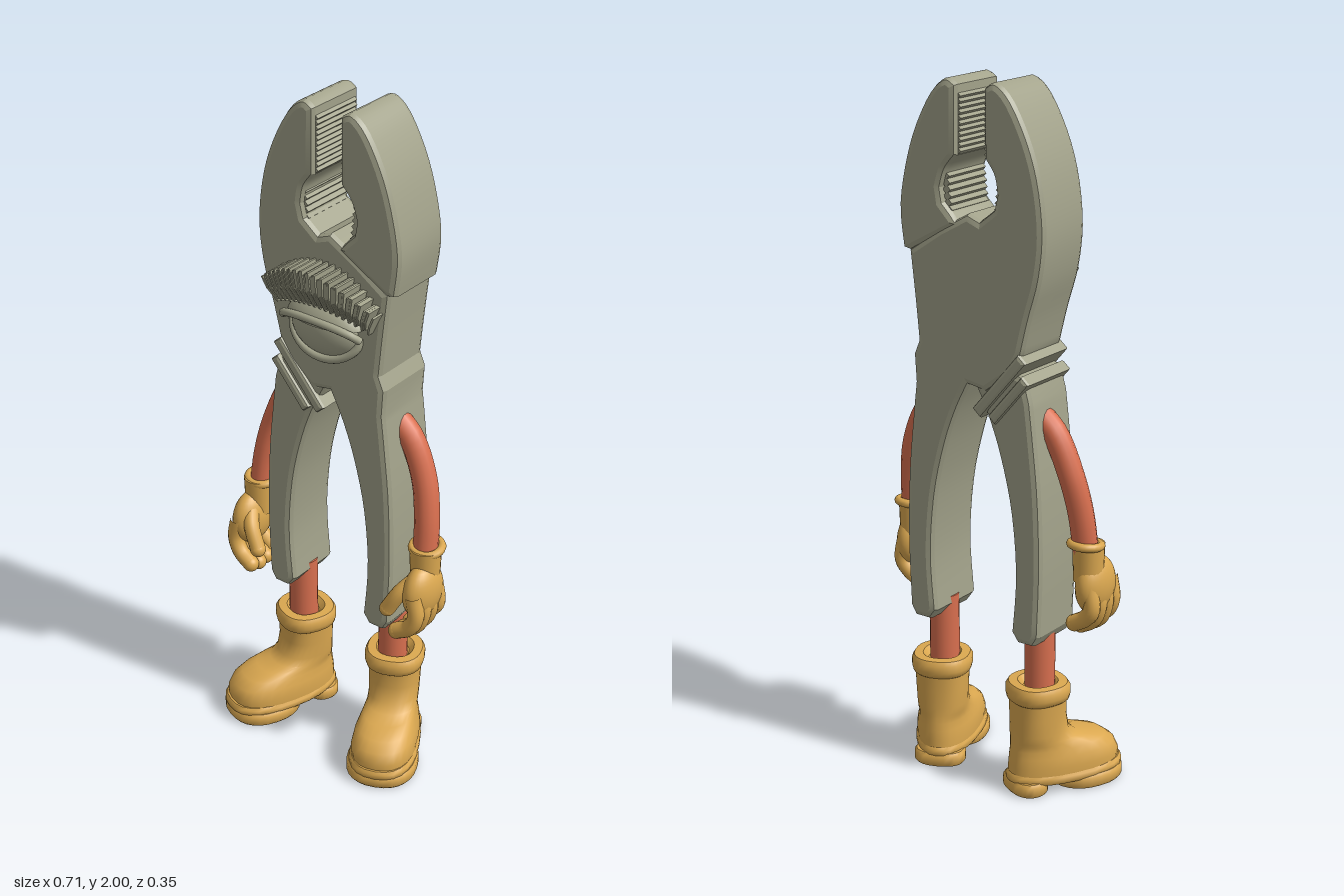
import * as THREE from 'three';
import { mergeGeometries, toCreasedNormals } from 'three/addons/utils/BufferGeometryUtils.js';

const steel = new THREE.MeshStandardMaterial({ color: 0xa3a38b, name: 'grey steel' });
const lidSteel = steel;
const skin = new THREE.MeshStandardMaterial({ color: 0xd86f4f, name: 'coral limbs' });
const leather = new THREE.MeshStandardMaterial({ color: 0xdba850, name: 'mustard leather' });
const V = (x, y, z) => new THREE.Vector3(x, y, z);

function add(group, name, geometry, material) {
  const mesh = new THREE.Mesh(geometry, material);
  mesh.name = name;
  group.add(mesh);
  return mesh;
}

// Rounded plate whose outline is a chain of smooth runs, sharp where runs meet
function plate(runs, z0, z1, bevel = 0.018) {
  const pts = [];
  for (const run of runs) {
    const p = run.map(([x, y]) => new THREE.Vector2(x, y));
    pts.push(...(p.length > 2 ? new THREE.SplineCurve(p).getPoints(p.length * 3) : p));
  }
  const clean = pts.filter((p, i) => p.distanceTo(pts[(i + 1) % pts.length]) > 0.002);
  const geo = new THREE.ExtrudeGeometry(new THREE.Shape(clean), {
    depth: z1 - z0 - 2 * bevel, bevelThickness: bevel, bevelSize: bevel,
    bevelOffset: -bevel, bevelSegments: 2,
  });
  geo.translate(0, 0, z0 + bevel);
  return toCreasedNormals(geo, 0.36);
}

// Stacked egg-shaped rings: [y, back z, front z, half width]
function loft(rings, flare = 0, n = 28) {
  const pos = [], index = [];
  rings.forEach(([y, back, front, w], i) => {
    for (let j = 0; j < n; j++) {
      const t = (j / n) * Math.PI * 2, s = Math.sin(t), c = Math.cos(t);
      const bulge = flare * Math.max(0, (front - back - 0.16) / 0.17);
      const sx = Math.sign(s) * Math.abs(s) ** 0.85, cz = Math.sign(c) * Math.abs(c) ** 0.85;
      pos.push(w * sx * (1 + bulge * c), y, (back + front) / 2 + ((front - back) / 2) * cz);
      if (i === rings.length - 1) continue;
      const a = i * n + j, b = i * n + ((j + 1) % n);
      index.push(a, b, b + n, a, b + n, a + n);
    }
  });
  const geo = new THREE.BufferGeometry();
  geo.setAttribute('position', new THREE.Float32BufferAttribute(pos, 3));
  geo.setIndex(index);
  return toCreasedNormals(geo, 0.8);
}

function tube(points, r) {
  return new THREE.TubeGeometry(new THREE.CatmullRomCurve3(points), 20, r, 14);
}

function ball(group, name, material, p, sx, sy, sz) {
  const mesh = add(group, name, new THREE.SphereGeometry(1, 28, 18), material);
  mesh.position.copy(p);
  mesh.scale.set(sx, sy, sz);
  return mesh;
}

function buildPliers(root) {
  const g = new THREE.Group();
  g.name = 'pliers';
  root.add(g);
  const inner = [[0.01, 1.18], [0.05, 1.1], [0.09, 0.99], [0.125, 0.84], [0.14, 0.66], [0.128, 0.49]];
  const outer = [[0.218, 0.49], [0.225, 0.7], [0.218, 0.9], [0.203, 1.05], [0.19, 1.16]];
  const foot = [[0.15, 0.46], [0.2, 0.46]];

  // One jaw, the head and the opposite handle in a single piece
  add(g, 'mainJawAndHandle', plate([
    [[-0.045, 1.985], [-0.08, 2.0], [-0.13, 1.96], [-0.185, 1.86], [-0.22, 1.75], [-0.235, 1.62],
      [-0.222, 1.5], [-0.19, 1.39], [-0.165, 1.29]],
    [[-0.13, 1.23], [-0.05, 1.17]], inner, foot, outer,
    [[0.195, 1.24], [0.178, 1.28]], [[0.178, 1.28], [0.19, 1.4], [0.205, 1.53]],
    [[0.1, 1.6], [0.01, 1.65]], [[-0.03, 1.635], [-0.075, 1.67]],
    [[-0.085, 1.71], [-0.075, 1.76], [-0.047, 1.8]],
  ], -0.165, 0.035), steel);

  add(g, 'secondJaw', plate([
    [[0.045, 1.985], [0.08, 2.0], [0.13, 1.96], [0.185, 1.86], [0.22, 1.75], [0.237, 1.64], [0.225, 1.53]],
    [[0.2, 1.525], [0.04, 1.615]], [[0.065, 1.645], [0.09, 1.67]],
    [[0.097, 1.71], [0.08, 1.76], [0.047, 1.8]],
  ], -0.165, 0.037), steel);

  const flip = (run) => run.map(([x, y]) => [-x, y]);
  add(g, 'secondHandle', plate([
    flip(inner), flip(foot), flip(outer), [[-0.17, 1.23], [-0.1, 1.25]],
  ], -0.158, 0.03), steel);

  // Diagonal shoulder ridges beside the pivot
  [[-0.095, 1.195, 0.23, 0.036], [-0.125, 1.16, 0.17, 0.032]].forEach(([x, y, len, w], i) => {
    const h = len / 2, k = w / 2;
    const ridge = add(g, 'shoulderRidge' + (i + 1),
      plate([[[-h, -k], [h, -k]], [[h, k], [-h, k]]], -0.168, 0.04, 0.01), steel);
    ridge.position.set(x, y, 0);
    ridge.rotation.z = -0.86;
  });

  // Gripping teeth: fine ones at the tips, coarse ones in the round gap
  const teeth = [];
  const tooth = (x, y, r) => {
    const t = new THREE.CylinderGeometry(r, r, 0.165, 4).rotateX(Math.PI / 2);
    teeth.push(t.translate(x, y, -0.065));
  };
  for (const s of [-1, 1]) {
    for (let i = 0; i < 11; i++) tooth(s * 0.047, 1.81 + i * 0.0145, 0.009);
    for (let i = 0; i < 6; i++) tooth(s * (0.09 - 0.002 * i), 1.74 - i * 0.018, 0.013);
  }
  add(g, 'jawTeeth', mergeGeometries(teeth.map((t) => toCreasedNormals(t, 0.3))), steel);
}

function buildFace(root) {
  const g = new THREE.Group();
  g.name = 'eye';
  root.add(g);
  ball(g, 'eyeball', steel, V(0, 1.375, 0.03), 0.112, 0.082, 0.055);

  // Heavy upper lid and a thin lower rim
  const lid = add(g, 'upperLid', new THREE.SphereGeometry(1, 28, 12, 0, Math.PI * 2, 0, 1.25), lidSteel);
  lid.position.set(0, 1.375, 0.03);
  lid.scale.set(0.132, 0.092, 0.07);
  const arc = (w, h, y, z, from, to) => Array.from({ length: 9 }, (_, i) => {
    const a = from + (to - from) * i / 8;
    return V(w * Math.cos(a), y + h * Math.sin(a), z + 0.035 * Math.abs(Math.sin(a)));
  });
  add(g, 'upperLidRim', tube(arc(0.13, 0.035, 1.383, 0.055, 0, Math.PI), 0.011), steel);
  add(g, 'lowerLidRim', tube(arc(0.118, 0.085, 1.38, 0.025, Math.PI, Math.PI * 2), 0.012), steel);

  // Bushy brow made of fanned wedge bristles, deepest at the top and middle
  const bristles = [];
  const count = 53;
  for (let i = 0; i < count; i++) {
    const t = (i / (count - 1)) * 2 - 1, jag = [0, 0.012, 0.005][i % 3];
    const low = [0.155 * t, 1.462 - 0.04 * t * t - jag];
    const high = [0.185 * t, 1.572 - 0.085 * t * t - jag];
    const depth = 0.088 - 0.045 * t * t - jag * 0.5;
    const len = Math.hypot(high[0] - low[0], high[1] - low[1]);
    const b = new THREE.BoxGeometry(0.006, len, 1, 1, 2, 1);
    const p = b.attributes.position;
    for (let k = 0; k < p.count; k++) {
      const h = p.getY(k) / len + 0.5;
      p.setZ(k, p.getZ(k) > 0 ? 0.035 + depth * (0.5 + 0.5 * Math.min(1, h * 1.6)) : 0.02);
    }
    b.rotateZ(-Math.atan2(high[0] - low[0], high[1] - low[1]));
    b.translate((low[0] + high[0]) / 2, (low[1] + high[1]) / 2, 0);
    b.computeVertexNormals();
    bristles.push(b);
  }
  add(g, 'eyebrow', mergeGeometries(bristles), steel);
}

function buildArm(root, s) {
  const g = new THREE.Group();
  g.name = s > 0 ? 'leftArm' : 'rightArm';
  root.add(g);
  add(g, 'arm', tube([V(s * 0.16, 1.11, -0.07), V(s * 0.215, 1.06, -0.07), V(s * 0.265, 0.95, -0.065),
    V(s * 0.288, 0.84, -0.05), V(s * 0.296, 0.72, -0.035)], 0.036), skin);

  // Glove: rolled cuff, wrist, palm, curled fingers and thumb
  const cuff = add(g, 'gloveCuff', new THREE.TorusGeometry(0.042, 0.012, 10, 24), leather);
  cuff.position.set(s * 0.298, 0.752, -0.04);
  cuff.rotation.x = Math.PI / 2 + 0.12;
  const wrist = add(g, 'gloveWrist', new THREE.CylinderGeometry(0.045, 0.042, 0.11, 20), leather);
  wrist.position.set(s * 0.301, 0.7, -0.03);
  ball(g, 'palm', leather, V(s * 0.31, 0.628, -0.008), 0.046, 0.085, 0.076);
  for (let i = 0; i < 4; i++) {
    const z = -0.053 + i * 0.034, drop = [0.02, 0.004, 0, 0.01][i];
    const tip = V(s * 0.268, 0.495 + drop, z + 0.006);
    add(g, 'finger' + (i + 1), tube([V(s * 0.318, 0.64, z), V(s * 0.328, 0.57, z),
      V(s * 0.308, 0.52 + drop, z + 0.003), tip], 0.024), leather);
    ball(g, 'fingertip' + (i + 1), leather, tip, 0.024, 0.024, 0.024);
  }
  const thumbTip = V(s * 0.237, 0.57, 0.058);
  add(g, 'thumb', tube([V(s * 0.3, 0.67, 0.01), V(s * 0.27, 0.63, 0.045), thumbTip], 0.023), leather);
  ball(g, 'thumbTip', leather, thumbTip, 0.023, 0.023, 0.023);
}

function buildLeg(root, s) {
  const g = new THREE.Group();
  g.name = s > 0 ? 'leftLeg' : 'rightLeg';
  root.add(g);
  const leg = add(g, 'leg', new THREE.CylinderGeometry(0.043, 0.043, 0.26, 20), skin);
  leg.position.set(s * 0.167, 0.38, -0.067);

  // Boot turned outward, with a rolled top, a welt, a front sole and a heel block
  const boot = new THREE.Group();
  boot.name = 'boot';
  boot.position.set(s * 0.168, 0, -0.078);
  boot.rotation.y = s * 0.42;
  g.add(boot);
  add(boot, 'bootUpper', loft([
    [0.045, -0.088, 0.25, 0.09], [0.08, -0.088, 0.254, 0.093], [0.11, -0.085, 0.24, 0.088],
    [0.132, -0.082, 0.21, 0.08], [0.148, -0.08, 0.16, 0.075], [0.158, -0.079, 0.115, 0.073],
    [0.18, -0.078, 0.088, 0.073], [0.23, -0.078, 0.078, 0.075], [0.275, -0.079, 0.079, 0.077],
    [0.28, -0.085, 0.085, 0.083], [0.295, -0.088, 0.088, 0.087], [0.315, -0.088, 0.088, 0.087],
    [0.327, -0.08, 0.08, 0.08], [0.328, -0.055, 0.055, 0.055], [0.31, -0.04, 0.04, 0.04],
    [0.31, 0, 0, 0],
  ], 0.17), leather);
  const slab = (y0, y1, b, f, w) => [[y0, (b + f) / 2, (b + f) / 2, 0], [y0, b + 0.006, f - 0.006, w - 0.006],
    [y0 + 0.008, b, f, w], [y1 - 0.008, b, f, w], [y1, b + 0.006, f - 0.006, w - 0.006],
    [y1, (b + f) / 2, (b + f) / 2, 0]];
  add(boot, 'welt', loft(slab(0.03, 0.06, -0.094, 0.264, 0.096), 0.17), leather);
  add(boot, 'frontSole', loft(slab(0, 0.04, 0.04, 0.262, 0.104)), leather);
  add(boot, 'heel', loft(slab(0, 0.04, -0.094, 0.015, 0.075)), leather);
}

export function createModel() {
  const root = new THREE.Group();
  root.name = 'pliersFigure';
  buildPliers(root);
  buildFace(root);
  for (const s of [-1, 1]) {
    buildArm(root, s);
    buildLeg(root, s);
  }
  return root;
}
